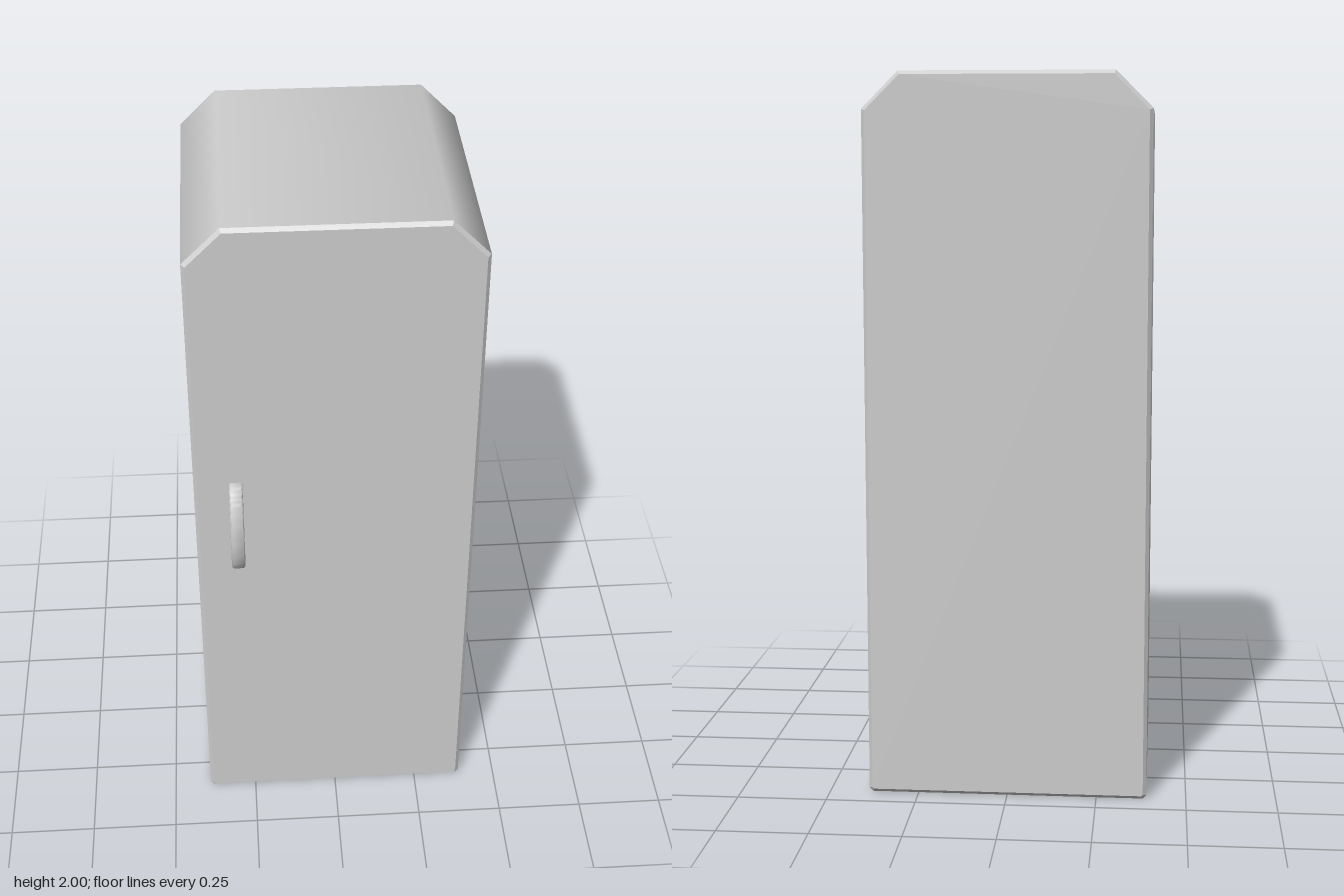
import * as THREE from 'three';
import { toCreasedNormals } from 'three/addons/utils/BufferGeometryUtils.js';

const material = new THREE.MeshStandardMaterial({ color: 0xcccccc });
const BACK = -0.43, FRONT = 0.35, EDGE = 0.01;

// Tall cabinet: chamfered outline, extruded to depth with a fine edge bevel
function cabinetGeometry() {
  const w = 0.39, h = 2, cut = 0.1, foot = 0.01;
  const outline = new THREE.Shape([
    [-w + foot, 0], [w - foot, 0], [w, foot], [w, h - cut],
    [w - cut, h], [-w + cut, h], [-w, h - cut], [-w, foot],
  ].map(([x, y]) => new THREE.Vector2(x, y)));
  const geometry = new THREE.ExtrudeGeometry(outline, {
    depth: FRONT - BACK - 2 * EDGE,
    bevelThickness: EDGE, bevelSize: EDGE, bevelOffset: -EDGE, bevelSegments: 1,
  });
  geometry.translate(0, 0, BACK + EDGE);

  // Soften the shading across the upper chamfers; front, back and bevels stay flat
  const p = geometry.attributes.position, n = geometry.attributes.normal;
  for (let i = 0; i < p.count; i++) {
    if (Math.abs(n.getZ(i)) > 0.01 || p.getY(i) < h - cut - 0.02) continue;
    const tilt = p.getY(i) > h - cut / 2 ? 3 * Math.PI / 8 : Math.PI / 8;
    n.setXYZ(i, Math.sign(p.getX(i)) * Math.cos(tilt), Math.sin(tilt), 0);
  }
  return geometry;
}

// Bow handle: half-elliptical strap with rounded edges, ends set into the door
function handleGeometry() {
  const bevel = 0.008, width = 0.038, sink = 0.02;
  const strap = new THREE.Shape();
  strap.moveTo(-sink, -0.147);
  strap.absellipse(0, 0, 0.078, 0.147, -Math.PI / 2, Math.PI / 2, false);
  strap.lineTo(-sink, 0.147);
  strap.lineTo(-sink, 0.12);
  strap.absellipse(0, 0, 0.053, 0.12, Math.PI / 2, -Math.PI / 2, true);
  strap.lineTo(-sink, -0.12);
  const geometry = new THREE.ExtrudeGeometry(strap, {
    depth: width - 2 * bevel, curveSegments: 24,
    bevelThickness: bevel, bevelSize: bevel, bevelOffset: -bevel, bevelSegments: 3,
  });
  geometry.translate(0, 0, bevel - width / 2);
  geometry.rotateY(-Math.PI / 2);
  return toCreasedNormals(geometry, 0.9);
}

export function createModel() {
  const model = new THREE.Group();
  model.name = 'cabinet';

  const body = new THREE.Mesh(cabinetGeometry(), material);
  body.name = 'cabinetBody';

  const handle = new THREE.Mesh(handleGeometry(), material);
  handle.name = 'doorHandle';
  handle.position.set(-0.275, 1.063, FRONT);

  model.add(body, handle);
  return model;
}
